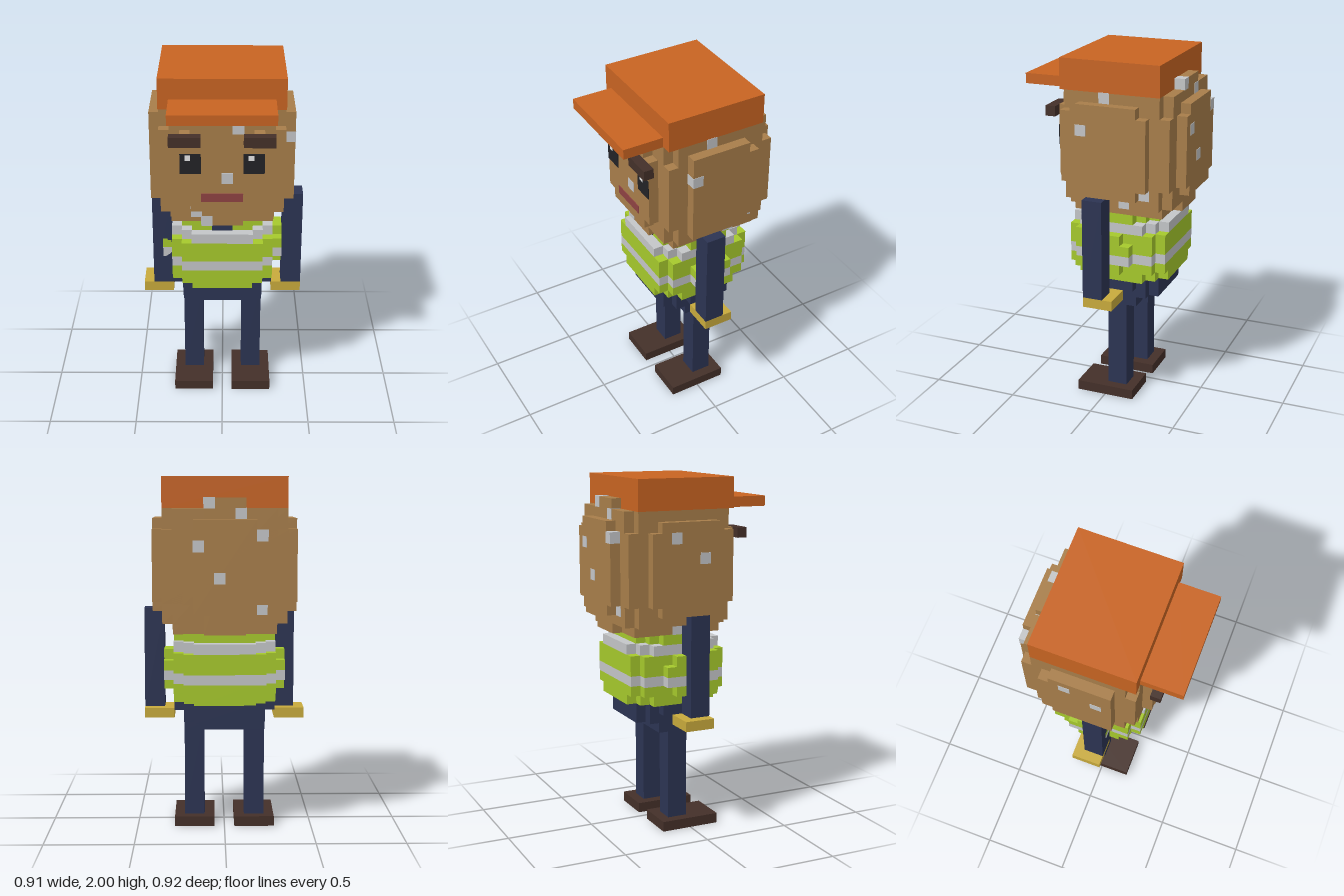
import * as THREE from 'three';

const U = 2 / 35; // one block

const mat = (name, color) => {
  const m = new THREE.MeshStandardMaterial({ color });
  m.name = name;
  return m;
};

export function createModel() {
  const model = new THREE.Group();
  model.name = 'blockWorker';

  const orange = mat('cap orange', 0xc86422);
  const skin = mat('skin brown', 0xa87e4a);
  const dark = mat('dark brown', 0x443029);
  const navy = mat('navy cloth', 0x2c3453);
  const lime = mat('vest lime', 0xa6c92c);
  const silver = mat('silver grey', 0xc4c6c8);
  const yellow = mat('glove yellow', 0xc8aa3c);
  const black = mat('eye black', 0x222226);
  const red = mat('lip red', 0x8e4242);
  const white = mat('eye glint', 0xe8e8e8);

  const group = (name) => {
    const g = new THREE.Group();
    g.name = name;
    model.add(g);
    return g;
  };

  // Box given by its ranges in blocks
  const box = (parent, name, material, x0, x1, y0, y1, z0, z1) => {
    const g = new THREE.BoxGeometry((x1 - x0) * U, (y1 - y0) * U, (z1 - z0) * U);
    const m = new THREE.Mesh(g, material);
    m.name = name;
    m.position.set((x0 + x1) / 2 * U, (y0 + y1) / 2 * U, (z0 + z1) / 2 * U);
    parent.add(m);
  };

  // Cap and brim
  const cap = group('cap');
  box(cap, 'capCrown', orange, -6, 6, 32, 35, -6, 4);
  box(cap, 'capBrim', orange, -5, 5, 32, 33, 4, 8);

  // Head: stepped boxes [half width, y0, y1, z0, z1]
  const head = group('head');
  [
    [5, 20, 33, -6, 3], [2, 20, 33, -7, 4],
    [6, 21, 32, -6, 3], [5, 21, 32, -7, 4], [6, 23, 30, -7, 4],
    [3, 22, 31, -8, 5], [4, 23, 30, -8, 5],
    [7, 22, 31, -4, 2], [7, 23, 30, -5, 2],
  ].forEach(([h, ...r]) => box(head, 'headBlock', skin, -h, h, ...r));

  // Face
  const face = group('face');
  for (const [x, side] of [[-4, 'right'], [2, 'left']]) {
    box(face, side + 'Eye', black, x, x + 2, 26, 28, 5, 5.08);
    box(face, side + 'EyeGlint', white, x + 0.47, x + 1, 27.35, 27.85, 5.04, 5.12);
  }
  box(face, 'rightBrow', dark, -5, -2, 29, 30, 5, 6);
  box(face, 'leftBrow', dark, 2, 5, 29, 30, 5, 6);
  box(face, 'mouth', red, -2, 2, 23.08, 23.92, 5, 5.08);

  // Grey flecks scattered over the head
  const flecks = group('flecks');
  [
    [-1, 31, 3], [1, 30, 4], [0, 25, 4], [-3, 21, 3], [-2, 20, 3],
    [5, 31, -1], [5, 22, -5], [5, 21, -3], [6, 28, 1],
    [2, 28, -8], [0, 25, -8], [-4, 29, -8], [1, 32, -7], [-2, 31, -7], [-4, 22, -7],
    [-7, 29, -3], [-7, 27, 0], [-5, 20, -2],
  ].forEach(([x, y, z]) => {
    const e = 0.04;
    box(flecks, 'fleck', silver, x - e, x + 1 + e, y - e, y + 1 + e, z - e, z + 1 + e);
  });

  // Torso: stepped boxes cut into trousers, vest and reflective bands
  const torso = group('torso');
  const bands = [
    ['hips', navy, 10, 13], ['vest', lime, 13, 15], ['lowerBand', silver, 15, 16],
    ['vest', lime, 16, 18], ['upperBand', silver, 18, 19], ['vest', lime, 19, 20],
  ];
  [ // half width, half depth, y0, y1
    [6, 1, 14, 18], [6, 2, 15, 17],
    [5, 2, 12, 20], [5, 3, 13, 19], [5, 4, 14, 18],
    [4, 2, 10, 20], [4, 3, 11, 20], [4, 4, 13, 19],
    [3, 4, 11, 20], [3, 5, 13, 19], [4, 5, 14, 18],
  ].forEach(([h, d, y0, y1]) => {
    for (const [name, m, b0, b1] of bands) {
      const lo = Math.max(y0, b0), hi = Math.min(y1, b1);
      if (hi > lo) box(torso, name, m, -h, h, lo, hi, -1 - d, -1 + d);
    }
  });
  box(torso, 'collar', navy, -1, 1, 19, 20, 2.9, 3.08);

  // Arms and gloves
  const arms = group('arms');
  box(arms, 'rightArm', navy, -7, -5, 12, 22, -1, 1);
  box(arms, 'leftArm', navy, 6, 8, 12, 22, -1, 1);
  box(arms, 'rightGlove', yellow, -8, -5, 11, 12, -2, 1);
  box(arms, 'leftGlove', yellow, 5, 8, 11, 12, -2, 1);

  // Legs and shoes
  const legs = group('legs');
  for (const [s, side] of [[-3, 'right'], [3, 'left']]) {
    box(legs, side + 'Leg', navy, s - 1, s + 1, 1, 11, -2, 0);
    box(legs, side + 'Shoe', dark, s - 2, s + 2, 0, 1, -3, 3);
  }

  return model;
}
